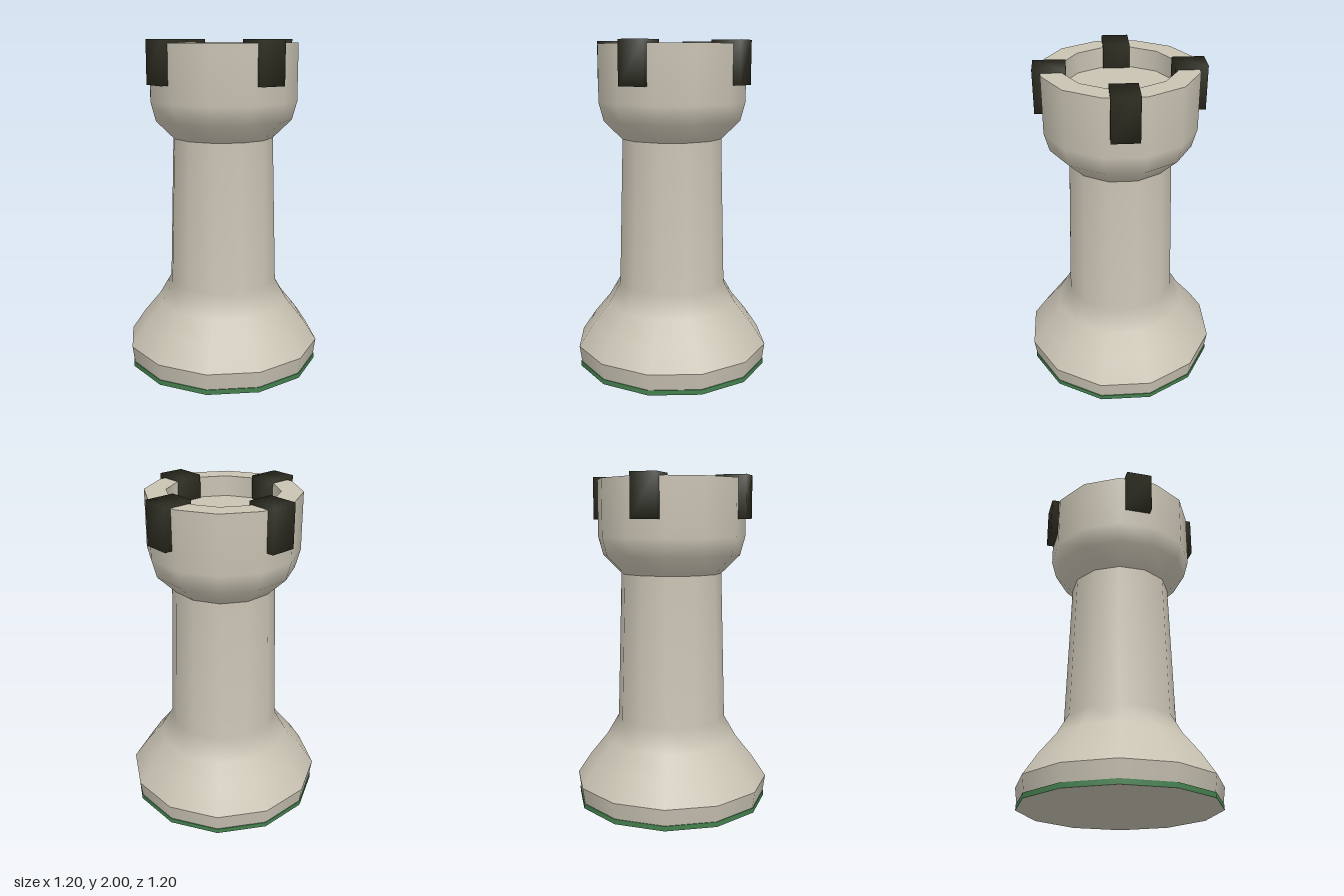
import * as THREE from 'three';
import { mergeVertices } from 'three/addons/utils/BufferGeometryUtils.js';

const SIDES = 12;

export function createModel() {
  const stone = new THREE.MeshStandardMaterial({ color: 0xc9c3b3 });
  stone.name = 'stone';
  const dark = new THREE.MeshStandardMaterial({ color: 0x2b2b20 });
  dark.name = 'dark notch';
  const green = new THREE.MeshStandardMaterial({ color: 0x45804f });
  green.name = 'green felt';

  const model = new THREE.Group();
  model.name = 'rook';

  const add = (name, geometry, material) => {
    const mesh = new THREE.Mesh(geometry, material);
    mesh.name = name;
    model.add(mesh);
    return mesh;
  };
  // Each turned part is smooth along its profile; separate parts keep hard edges
  const turn = (name, profile, material = stone) =>
    add(name, new THREE.LatheGeometry(profile.map(([r, y]) => new THREE.Vector2(r, y)), SIDES), material);

  // Foot
  turn('underside', [[0, 0], [0.593, 0]]);
  turn('feltBand', [[0.593, 0], [0.593, 0.03]], green);
  turn('feltLedge', [[0.593, 0.03], [0.58, 0.03]], green);
  turn('footBand', [[0.588, 0.03], [0.602, 0.13]]);

  // Flared base running into the shaft
  turn('shaft', [[0.602, 0.13], [0.515, 0.26], [0.41, 0.39], [0.335, 0.52], [0.308, 1.42]]);

  // Turret head with a sunken floor
  turn('head', [[0.308, 1.42], [0.42, 1.53], [0.45, 1.64], [0.45, 1.98]]);
  turn('rim', [[0.45, 1.98], [0.325, 1.98]]);
  turn('innerWall', [[0.325, 1.98], [0.325, 1.86]]);
  turn('turretFloor', [[0.325, 1.86], [0, 1.86]]);

  // Four dark notch blocks on the diagonals, softly shaded across shared corners
  const box = new THREE.BoxGeometry(0.156, 0.255, 0.184);
  box.deleteAttribute('normal');
  box.deleteAttribute('uv');
  const block = mergeVertices(box);
  block.computeVertexNormals();
  for (let i = 0; i < 4; i++) {
    const a = Math.PI / 4 + (i * Math.PI) / 2;
    const notch = add('notch' + (i + 1), block, dark);
    notch.position.set(0.389 * Math.sin(a), 1.8725, 0.389 * Math.cos(a));
    notch.rotation.y = a;
  }
  return model;
}
